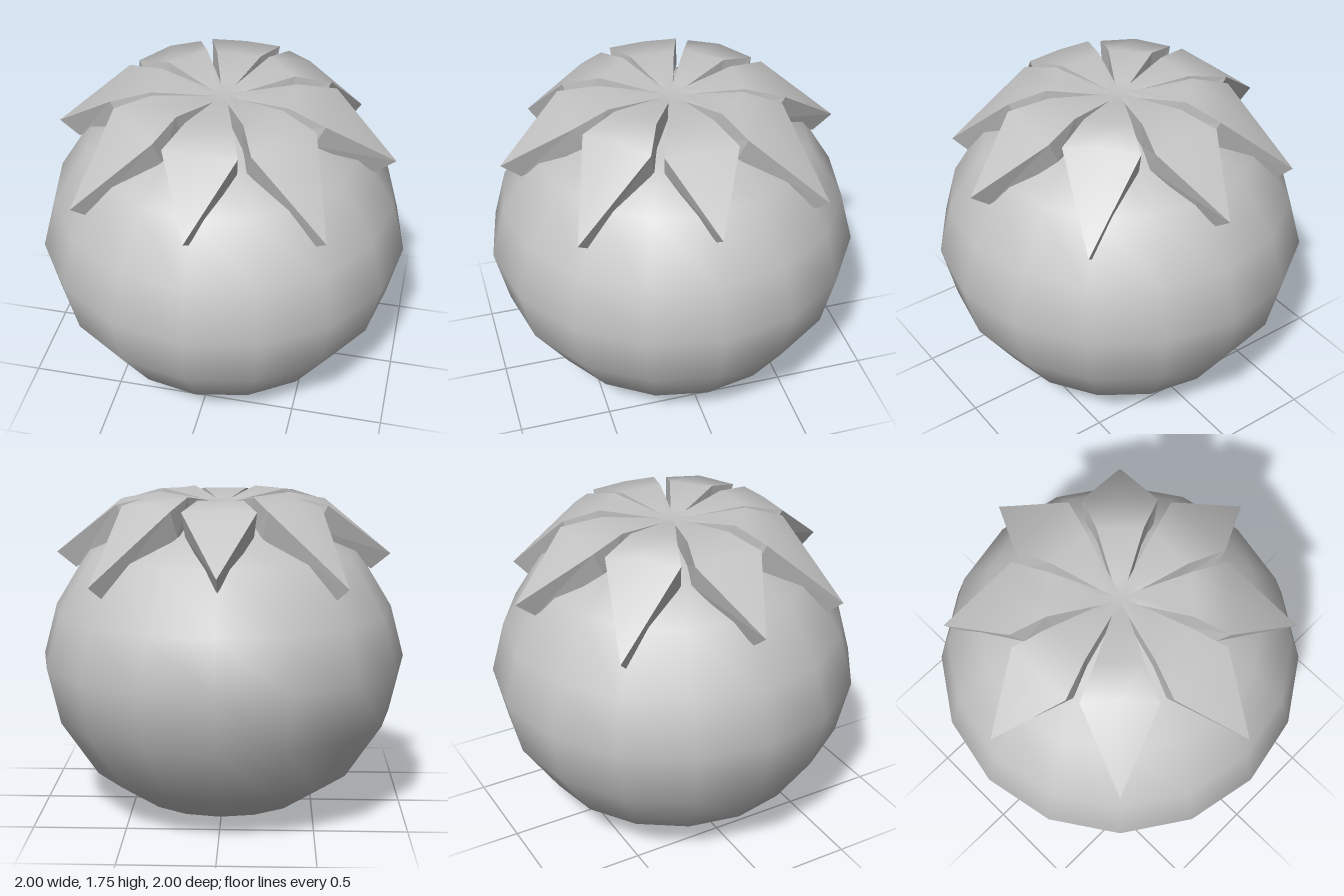
import * as THREE from 'three';
import { mergeVertices } from 'three/addons/utils/BufferGeometryUtils.js';

const grey = new THREE.MeshStandardMaterial({ color: 0xc4c4c4 });
grey.name = 'plain grey';

// Leaf stations from centre to tip: [radius, half width, edge height, spine height]
const sideTop = [[0, 0, 1.71, 1.71], [0.1, 0.041, 1.71, 1.715], [0.36, 0.12, 1.74, 1.74], [0.56, 0.19, 1.7, 1.71], [0.915, 0, 1.42, 1.42]];
const sideBottom = [[0, 0, 1.59, 1.59], [0.1, 0.041, 1.59, 1.59], [0.34, 0.11, 1.6, 1.6], [0.5, 0.175, 1.57, 1.57], [0.81, 0, 1.335, 1.335]];
const cornerTop = [[0, 0, 1.71, 1.71], [0.1, 0.041, 1.71, 1.715], [0.36, 0.12, 1.755, 1.75], [0.545, 0.195, 1.7, 1.73], [0.925, 0, 1.33, 1.33]];
const cornerBottom = [[0, 0, 1.59, 1.59], [0.1, 0.041, 1.59, 1.59], [0.34, 0.11, 1.6, 1.6], [0.48, 0.175, 1.56, 1.57], [0.83, 0, 1.255, 1.255]];

// Three points across the leaf at each station, turned about the y axis
function leafRows(stations, angle) {
  const up = new THREE.Vector3(0, 1, 0);
  return stations.map(([r, w, edge, spine]) => [
    new THREE.Vector3(r, edge, -w), new THREE.Vector3(r, spine, 0), new THREE.Vector3(r, edge, w),
  ].map((p) => p.applyAxisAngle(up, angle)));
}

function addQuad(out, a, b, c, d) {
  for (const t of [[a, b, c], [a, c, d]]) {
    const area = new THREE.Triangle(...t).getArea();
    if (area > 1e-7) for (const p of t) out.push(p.x, p.y, p.z);
  }
}

function surface(points, smooth) {
  let g = new THREE.BufferGeometry();
  g.setAttribute('position', new THREE.Float32BufferAttribute(points, 3));
  if (smooth) g = mergeVertices(g, 1e-4);
  g.computeVertexNormals();
  return g;
}

export function createModel() {
  const model = new THREE.Group();
  const add = (name, geometry, parent) => {
    const mesh = new THREE.Mesh(geometry, grey);
    mesh.name = name;
    parent.add(mesh);
  };

  // Round fruit, slightly flattened at both ends
  const profile = [[0, 0], [0.48, 0.065], [0.73, 0.235], [0.93, 0.54], [1, 0.85],
    [0.925, 1.13], [0.735, 1.44], [0.44, 1.59], [0, 1.63]].map(([x, y]) => new THREE.Vector2(x, y));
  add('fruitBody', new THREE.LatheGeometry(profile, 16), model);

  // Eight pointed leaves joined at the centre
  const crown = new THREE.Group();
  crown.name = 'leafCrown';
  model.add(crown);
  const topFaces = [], underFaces = [], wallFaces = [];
  for (let k = 0; k < 8; k++) {
    const angle = k * Math.PI / 4;
    const top = leafRows(k % 2 ? cornerTop : sideTop, angle);
    const low = leafRows(k % 2 ? cornerBottom : sideBottom, angle);
    for (let i = 0; i < top.length - 1; i++) {
      for (let j = 0; j < 2; j++) {
        addQuad(topFaces, top[i][j], top[i][j + 1], top[i + 1][j + 1], top[i + 1][j]);
        addQuad(underFaces, low[i][j], low[i + 1][j], low[i + 1][j + 1], low[i][j + 1]);
      }
      if (i === 0) continue; // neighbouring leaves join here
      addQuad(wallFaces, low[i][2], low[i + 1][2], top[i + 1][2], top[i][2]);
      addQuad(wallFaces, low[i + 1][0], low[i][0], top[i][0], top[i + 1][0]);
    }
  }
  add('leafTops', surface(topFaces, true), crown);
  add('leafUndersides', surface(underFaces, true), crown);
  add('leafEdges', surface(wallFaces, false), crown);
  return model;
}
